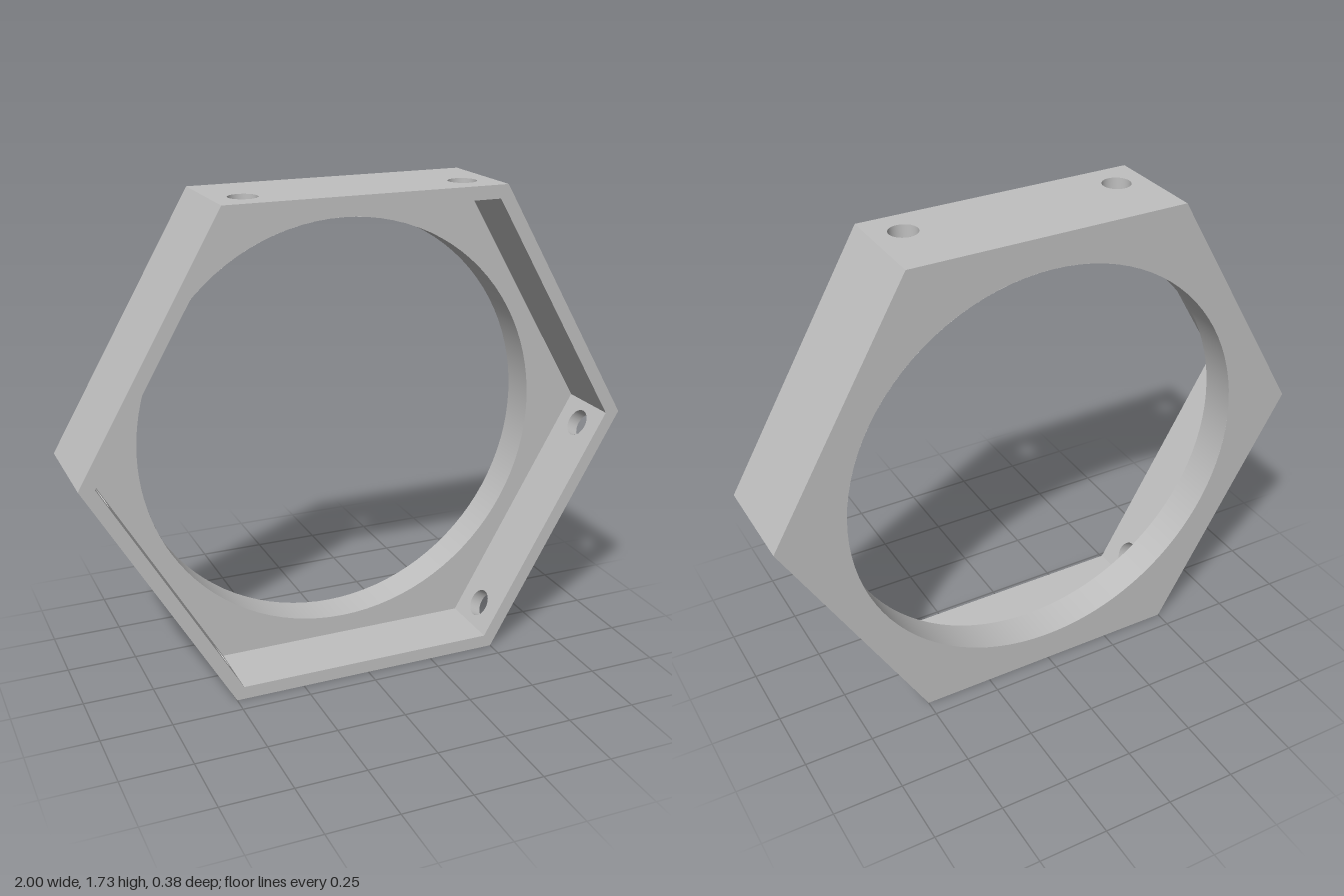
import * as THREE from 'three';

const DEPTH = 0.1875;      // half depth of the frame
const FLOOR = -0.05;       // front plane of the back flange
const OUTER = 1;           // outer hexagon corner radius
const INNER = 0.946;       // pocket hexagon corner radius
const BORE = 0.75;         // round opening
const HOLE = 0.05, HOLE_X = 0.39, HOLE_Z = 0.065;
const APOTHEM = Math.sqrt(3) / 2;

const grey = new THREE.MeshStandardMaterial({ color: 0xc0c0c0, side: THREE.DoubleSide });
grey.name = 'grey';

function add(parent, name, geometry) {
  const mesh = new THREE.Mesh(geometry, grey);
  mesh.name = name;
  parent.add(mesh);
  return mesh;
}

function hexPoints(r) {
  return Array.from({ length: 6 }, (_, i) =>
    new THREE.Vector2(r * Math.cos(i * Math.PI / 3), r * Math.sin(i * Math.PI / 3)));
}

function circlePath(x, y, r) {
  return new THREE.Path().absarc(x, y, r, 0, Math.PI * 2, true);
}

// Flat hexagon with an opening, at depth z
function hexFace(radius, opening, z, facesBack) {
  const shape = new THREE.Shape(hexPoints(radius));
  shape.holes.push(opening);
  const geometry = new THREE.ShapeGeometry(shape, 96);
  if (facesBack) geometry.rotateY(Math.PI);
  return geometry.translate(0, 0, z);
}

// Side panel of a hexagon, facing outward (dir 1) or inward (dir -1)
function panel(radius, z0, z1, drilled, dir) {
  const h = radius / 2, a = -dir * z0, b = -dir * z1;
  const shape = new THREE.Shape([[-h, a], [h, a], [h, b], [-h, b]].map(p => new THREE.Vector2(...p)));
  if (drilled) {
    for (const s of [-1, 1]) shape.holes.push(circlePath(s * HOLE_X, -dir * HOLE_Z, HOLE));
  }
  return new THREE.ShapeGeometry(shape, 32)
    .rotateX(-dir * Math.PI / 2)
    .translate(0, radius * APOTHEM, 0);
}

export function createModel() {
  const model = new THREE.Group();
  model.name = 'hexagonalFrame';
  const frame = new THREE.Group();
  frame.name = 'frame';
  frame.position.y = APOTHEM;
  model.add(frame);

  // Front rim, pocket floor and back face
  add(frame, 'frontRim', hexFace(OUTER, new THREE.Path(hexPoints(INNER)), DEPTH, false));
  add(frame, 'pocketFloor', hexFace(INNER, circlePath(0, 0, BORE), FLOOR, false));
  add(frame, 'backFace', hexFace(OUTER, circlePath(0, 0, BORE), -DEPTH, true));

  // Round bore through the flange
  const length = FLOOR + DEPTH;
  add(frame, 'bore', new THREE.CylinderGeometry(BORE, BORE, length, 96, 1, true)
    .rotateX(Math.PI / 2).translate(0, 0, (FLOOR - DEPTH) / 2));

  // Six walls, every second one drilled twice
  const thickness = (OUTER - INNER) * APOTHEM;
  for (let i = 0; i < 6; i++) {
    const wall = new THREE.Group();
    wall.name = 'wall' + (i + 1);
    wall.rotation.z = i * Math.PI / 3;
    frame.add(wall);
    const drilled = i % 2 === 0;
    add(wall, 'outerFace', panel(OUTER, -DEPTH, DEPTH, drilled, 1));
    add(wall, 'innerFace', panel(INNER, FLOOR, DEPTH, drilled, -1));
    if (!drilled) continue;
    for (const s of [-1, 1]) {
      add(wall, 'screwHole', new THREE.CylinderGeometry(HOLE, HOLE, thickness, 32, 1, true)
        .translate(s * HOLE_X, OUTER * APOTHEM - thickness / 2, HOLE_Z));
    }
  }
  return model;
}
